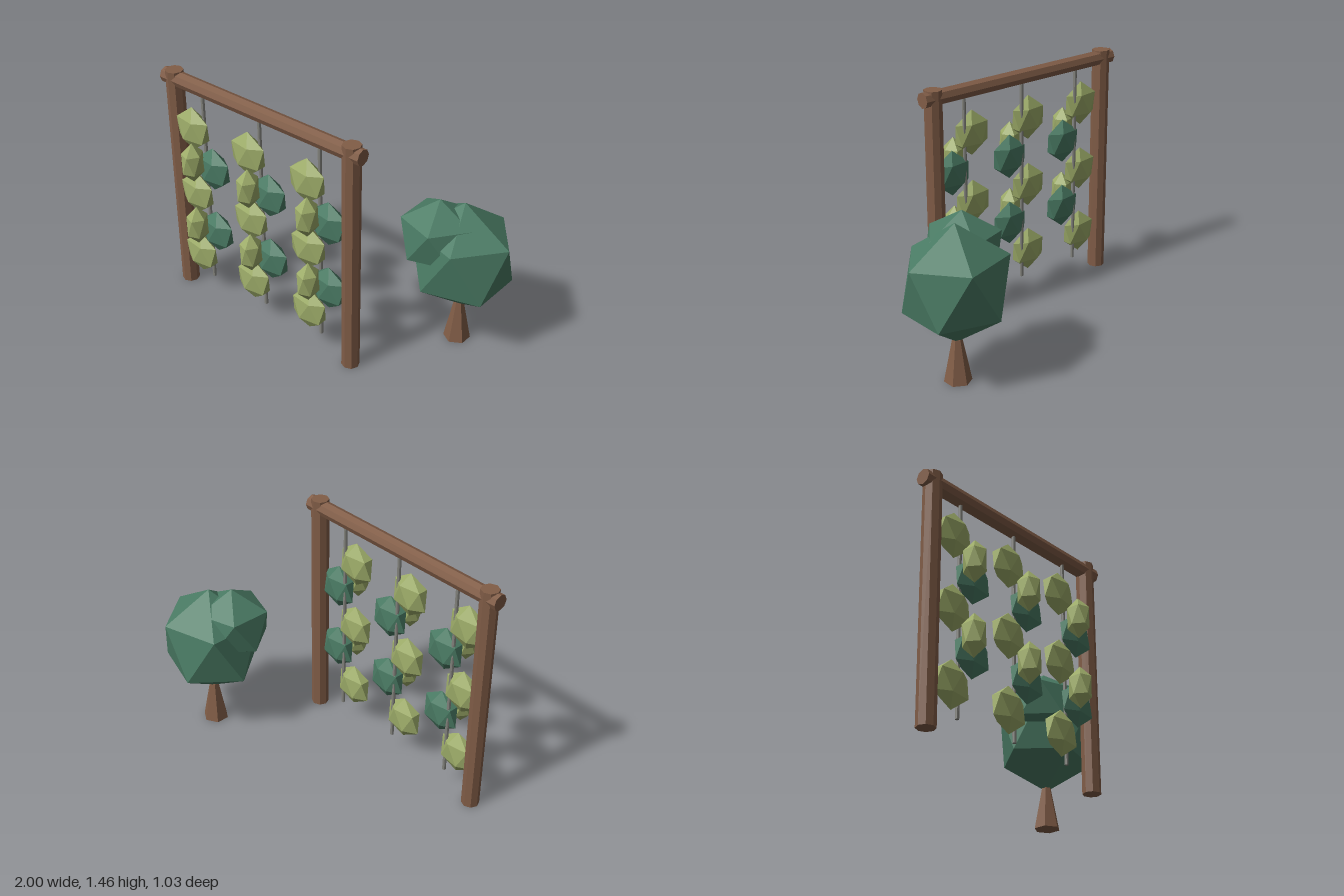
import * as THREE from 'three';

const flat = (name, color) => {
  const m = new THREE.MeshStandardMaterial({ color, flatShading: true });
  m.name = name;
  return m;
};

export function createModel() {
  const wood = flat('wood', 0x815d47);
  const lightLeaf = flat('lightLeaf', 0x9dac69);
  const darkLeaf = flat('darkLeaf', 0x4a7b64);
  const wire = flat('wire', 0x82827c);

  const model = new THREE.Group();
  model.name = 'trellisAndTree';

  const add = (parent, name, geometry, material, x, y, z) => {
    const mesh = new THREE.Mesh(geometry, material);
    mesh.name = name;
    mesh.position.set(x, y, z);
    parent.add(mesh);
    return mesh;
  };

  // Icosahedron standing on a vertex, upper ring pointing to +x, stretched per axis
  const foliage = (sx, sy, sz) =>
    new THREE.IcosahedronGeometry(1)
      .rotateX(-Math.atan((1 + Math.sqrt(5)) / 2))
      .rotateY(Math.PI / 2)
      .scale(sx, sy, sz);

  // Trellis frame: two posts and a cross beam
  const trellis = new THREE.Group();
  trellis.name = 'trellis';
  model.add(trellis);
  const frameZ = 0.341;
  const postGeo = new THREE.CylinderGeometry(0.053, 0.053, 1.46, 8);
  add(trellis, 'rightPost', postGeo, wood, -0.927, 0.73, frameZ);
  add(trellis, 'leftPost', postGeo, wood, 0.372, 0.73, frameZ);
  const beamGeo = new THREE.CylinderGeometry(0.047, 0.047, 1.446, 8).rotateZ(Math.PI / 2);
  add(trellis, 'beam', beamGeo, wood, -0.277, 1.41, frameZ);

  // Three hanging vines, each a wire with alternating leaf clumps
  const wireGeo = new THREE.CylinderGeometry(0.011, 0.011, 1.29, 8);
  const sideGeo = foliage(0.132, 0.139, 0.059);
  const frontGeo = foliage(0.068, 0.128, 0.077);
  const step = 0.433;
  for (let i = 0; i < 3; i++) {
    const vine = new THREE.Group();
    vine.name = 'vine' + (i + 1);
    vine.position.x = -0.711 + i * step;
    trellis.add(vine);
    add(vine, 'wire', wireGeo, wire, 0, 0.757, frameZ);
    for (let j = 0; j < 3; j++) {
      add(vine, 'lightLeafClump', sideGeo, lightLeaf, -0.071, 0.273 + j * step, 0.364);
    }
    for (let j = 0; j < 2; j++) {
      add(vine, 'darkLeafClump', sideGeo, darkLeaf, 0.077, 0.489 + j * step, 0.364);
      add(vine, 'frontLeafClump', frontGeo, lightLeaf, 0, 0.545 + j * step, 0.451);
    }
  }

  // Tree: tapered trunk and two overlapping crowns
  const tree = new THREE.Group();
  tree.name = 'tree';
  tree.position.set(0.697, 0, -0.254);
  model.add(tree);
  add(tree, 'trunk', new THREE.CylinderGeometry(0.028, 0.079, 0.26, 6), wood, 0, 0.13, 0);
  add(tree, 'mainCrown', foliage(0.338, 0.35, 0.308), darkLeaf, 0, 0.59, 0);
  add(tree, 'sideCrown', foliage(0.242, 0.228, 0.236), darkLeaf, -0.112, 0.73, 0.083);

  return model;
}
